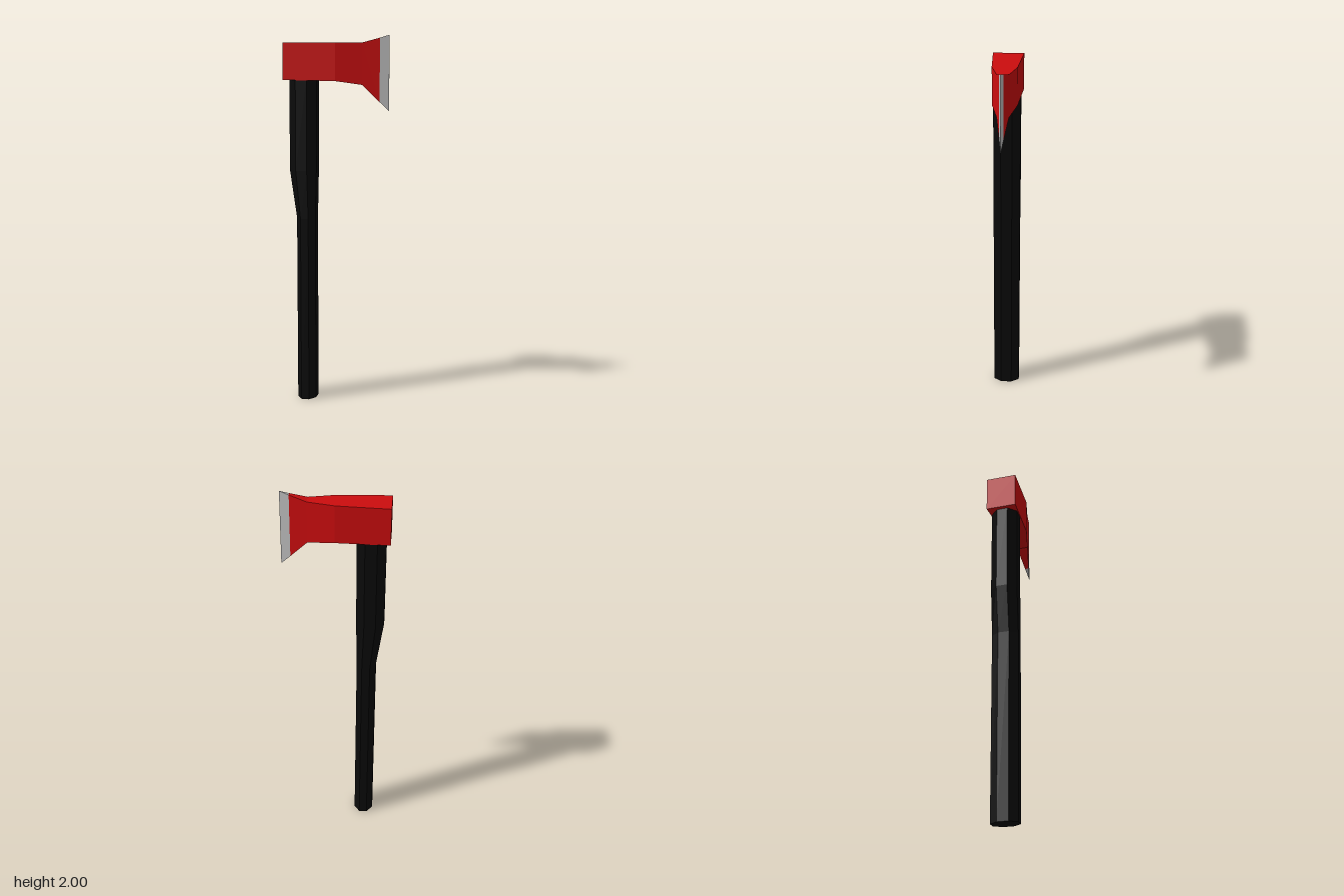
import * as THREE from 'three';

// Skin a list of rings (counter-clockwise seen from the far end) and cap both ends.
function loft(rings) {
  const pos = [];
  const tri = (a, b, c) => pos.push(...a, ...b, ...c);
  const n = rings[0].length;
  for (let i = 0; i < rings.length - 1; i++) {
    for (let j = 0; j < n; j++) {
      const k = (j + 1) % n;
      const [a, b, c, d] = [rings[i][j], rings[i][k], rings[i + 1][k], rings[i + 1][j]];
      tri(a, b, c);
      tri(a, c, d);
    }
  }
  const first = rings[0], last = rings[rings.length - 1];
  for (let j = 1; j < n - 1; j++) {
    tri(first[0], first[j + 1], first[j]);
    tri(last[0], last[j], last[j + 1]);
  }
  const g = new THREE.BufferGeometry();
  g.setAttribute('position', new THREE.Float32BufferAttribute(pos, 3));
  g.computeVertexNormals();
  return g;
}

// Rectangular section of the head at x
const headRing = ([x, bottom, top, hz]) => [
  [x, top, hz], [x, bottom, hz], [x, bottom, -hz], [x, top, -hz],
];

// Eight-sided section of the handle at y
function handleRing([y, x0, x1, hz]) {
  const cx = (x0 + x1) / 2, hx = (x1 - x0) / 2, ring = [];
  for (let i = 0; i < 8; i++) {
    const a = (i + 0.5) * Math.PI / 4, s = 1 / Math.cos(Math.PI / 8);
    ring.push([cx + hx * s * Math.sin(a), y, hz * s * Math.cos(a)]);
  }
  return ring;
}

export function createModel() {
  const material = (name, color) => {
    const m = new THREE.MeshStandardMaterial({ color });
    m.name = name;
    return m;
  };
  const red = material('red paint', 0xcc0d0e);
  const steel = material('bare steel', 0xc0c0c0);
  const black = material('black handle', 0x0a0a0a);

  const group = new THREE.Group();
  group.name = 'axe';
  const add = (name, rings, mat) => {
    const mesh = new THREE.Mesh(loft(rings), mat);
    mesh.name = name;
    group.add(mesh);
  };

  // Head: x, bottom, top, half thickness
  const shoulder = [0.23, 1.65, 1.985, 0.011];
  add('head', [
    [-0.28, 1.765, 1.96, 0.083],
    [0, 1.76, 1.96, 0.066],
    [0.14, 1.74, 1.96, 0.031],
    shoulder,
  ].map(headRing), red);

  // Ground cutting edge
  add('cuttingEdge', [shoulder, [0.279, 1.603, 2, 0.0006]].map(headRing), steel);

  // Handle: y, back x, front x, half thickness
  add('handle', [
    [0, -0.22, -0.117, 0.073],
    [1.02, -0.22, -0.117, 0.073],
    [1.28, -0.258, -0.111, 0.073],
    [1.78, -0.258, -0.108, 0.073],
  ].map(handleRing), black);

  return group;
}
